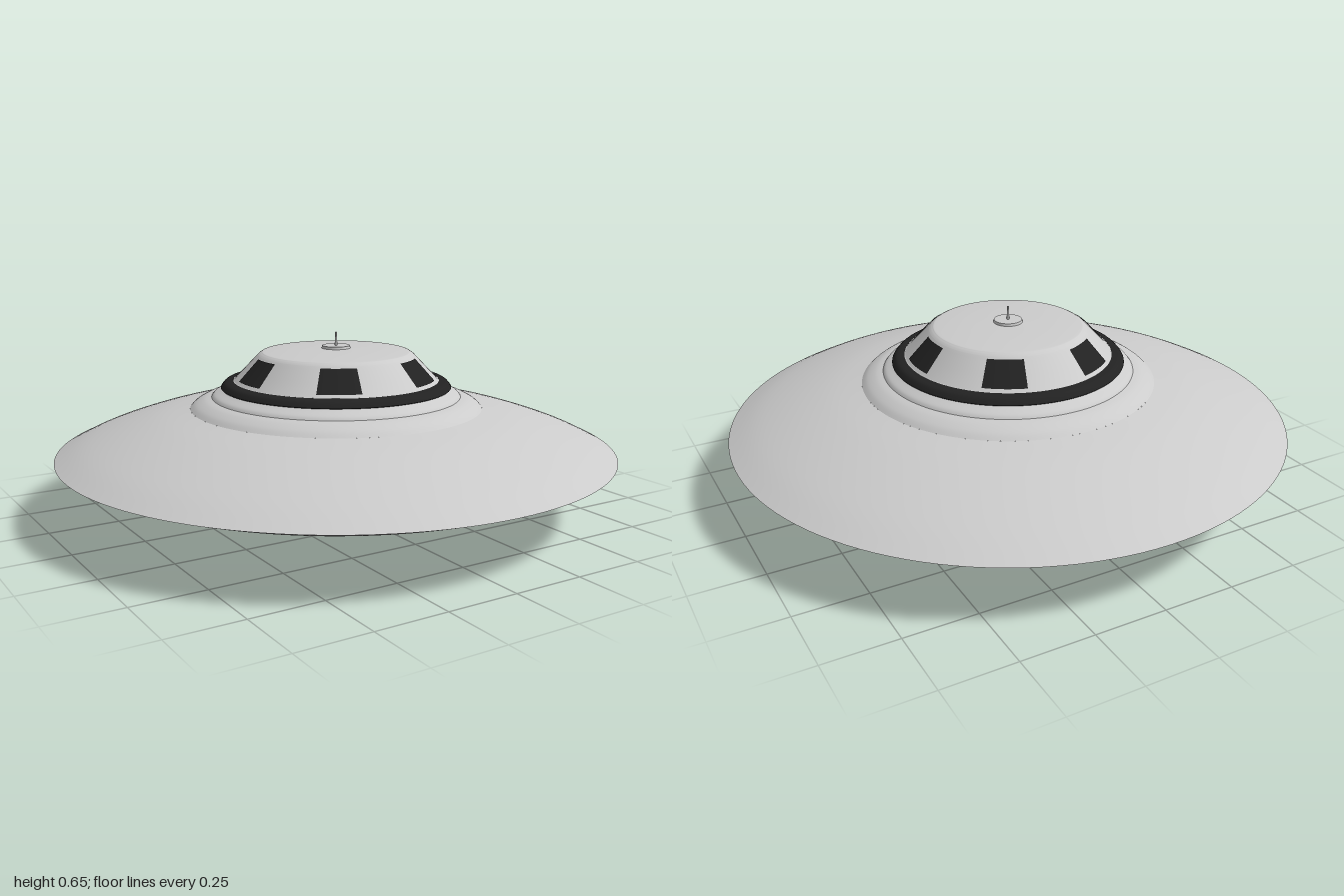
import * as THREE from 'three';

const grey = new THREE.MeshStandardMaterial({ color: 0xcccccc, side: THREE.DoubleSide });
const dark = new THREE.MeshStandardMaterial({ color: 0x222222, side: THREE.DoubleSide });

// Revolve a profile of [radius, height] pairs, listed bottom to top on the outside
function turned(name, profile, material = grey, segments = 96, start = 0, sweep = Math.PI * 2) {
  const points = profile.map(([r, y]) => new THREE.Vector2(r, y));
  const mesh = new THREE.Mesh(new THREE.LatheGeometry(points, segments, start, sweep), material);
  mesh.name = name;
  return mesh;
}

// Smooth profile through a few points
function smooth(points, count = 16) {
  const curve = new THREE.SplineCurve(points.map(([r, y]) => new THREE.Vector2(r, y)));
  return curve.getPoints(count).map((p) => [p.x, p.y]);
}

export function createModel() {
  const saucer = new THREE.Group();
  saucer.name = 'saucer';

  // Underside: stacked shallow dishes
  saucer.add(
    turned('bottomPlate', [[0, 0], [0.235, 0]]),
    turned('bottomDish', smooth([[0.235, 0], [0.26, 0.007], [0.29, 0.025], [0.315, 0.045]])),
    turned('middlePlate', [[0.315, 0.045], [0.425, 0.045]]),
    turned('middleDish', smooth([[0.425, 0.045], [0.45, 0.052], [0.49, 0.075], [0.52, 0.1]])),
    turned('lowerStep', smooth([[0.52, 0.1], [0.565, 0.102], [0.585, 0.113], [0.605, 0.123]])),
  );

  // Main disc, meeting at a sharp rim
  saucer.add(
    turned('lowerHull', smooth([[0.605, 0.123], [0.75, 0.15], [0.88, 0.186], [1, 0.23]]), grey, 128),
    turned('upperHull', smooth([[1, 0.23], [0.9, 0.278], [0.77, 0.325], [0.64, 0.362], [0.525, 0.385]]), grey, 128),
  );

  // Stepped collar under the cabin
  saucer.add(
    turned('collar', smooth([[0.525, 0.385], [0.505, 0.402], [0.475, 0.417], [0.448, 0.424]])),
    turned('collarStep', smooth([[0.448, 0.424], [0.438, 0.435], [0.415, 0.447], [0.4, 0.455]])),
  );

  // Dark band round the foot of the cabin
  saucer.add(turned('darkBand',
    smooth([[0.39, 0.453], [0.413, 0.455], [0.41, 0.464], [0.396, 0.477], [0.37, 0.481]]), dark));

  // Cabin wall with a rounded shoulder and gently domed roof
  saucer.add(
    turned('cabin', [[0.37, 0.48], [0.365, 0.482], [0.325, 0.524], [0.288, 0.563],
      ...smooth([[0.28, 0.571], [0.268, 0.579], [0.25, 0.583], [0.15, 0.59], [0, 0.594]], 20)]),
  );

  // Six windows lying just proud of the cabin wall
  const halfWidth = THREE.MathUtils.degToRad(12.2);
  for (let i = 0; i < 6; i++) {
    const angle = Math.PI / 6 + i * Math.PI / 3;
    saucer.add(turned('window', [[0.36, 0.491], [0.327, 0.526], [0.289, 0.566]],
      dark, 10, angle - halfWidth, halfWidth * 2));
  }

  // Antenna on its small round base
  const base = new THREE.Mesh(new THREE.CylinderGeometry(0.05, 0.052, 0.01, 32), grey);
  base.name = 'antennaBase';
  base.position.y = 0.597;
  const antenna = new THREE.Mesh(new THREE.CylinderGeometry(0.003, 0.005, 0.05, 12), grey);
  antenna.name = 'antenna';
  antenna.position.y = 0.625;
  saucer.add(base, antenna);

  return saucer;
}
